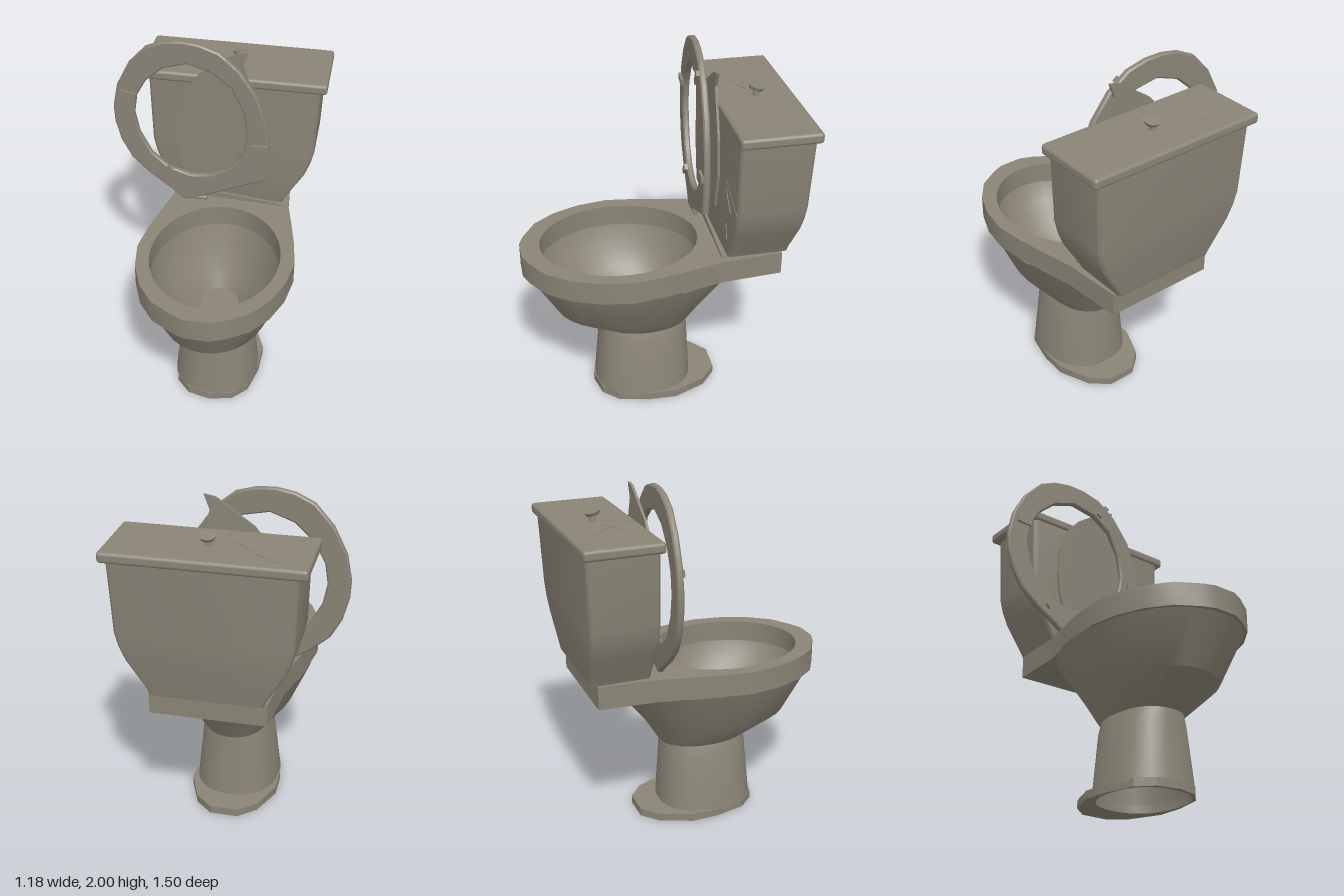
import * as THREE from 'three';
import { toCreasedNormals } from 'three/addons/utils/BufferGeometryUtils.js';
import { RoundedBoxGeometry } from 'three/addons/geometries/RoundedBoxGeometry.js';

const CX = 0.075; // centre line of bowl and tank

// Horizontal oval ring of points at height y
function oval(y, rx, zFront, zBack, n = 2, count = 32) {
  const zc = (zFront + zBack) / 2, rz = (zFront - zBack) / 2, ring = [];
  for (let i = 0; i < count; i++) {
    const a = (i / count) * Math.PI * 2, c = Math.cos(a), s = Math.sin(a);
    ring.push([
      CX + rx * Math.sign(c) * Math.abs(c) ** (2 / n), y,
      zc + rz * Math.sign(s) * Math.abs(s) ** (2 / n)]);
  }
  return ring;
}

// Horizontal rounded rectangle ring
function roundRect(y, hx, zFront, zBack, r) {
  const zc = (zFront + zBack) / 2, hz = (zFront - zBack) / 2, ring = [];
  [[1, 1], [-1, 1], [-1, -1], [1, -1]].forEach(([sx, sz], k) => {
    for (let i = 0; i <= 3; i++) {
      const a = (k + i / 3) * Math.PI / 2;
      ring.push([CX + sx * (hx - r) + r * Math.cos(a), y, zc + sz * (hz - r) + r * Math.sin(a)]);
    }
  });
  return ring;
}

// Skin through a stack of rings, with optional end caps
function loft(rings, capStart, capEnd, crease = 0.6) {
  const n = rings[0].length, pos = rings.flat(2), idx = [];
  for (let r = 0; r < rings.length - 1; r++) {
    for (let i = 0; i < n; i++) {
      const j = (i + 1) % n, p = r * n, q = p + n;
      idx.push(p + i, q + i, p + j, q + i, q + j, p + j);
    }
  }
  const cap = (r, flip) => {
    const c = pos.length / 3, b = r * n;
    const mid = [0, 1, 2].map(k => rings[r].reduce((s, p) => s + p[k], 0) / n);
    pos.push(...mid);
    for (let i = 0; i < n; i++) {
      const j = (i + 1) % n;
      idx.push(c, b + (flip ? j : i), b + (flip ? i : j));
    }
  };
  if (capStart) cap(0, false);
  if (capEnd) cap(rings.length - 1, true);
  const g = new THREE.BufferGeometry();
  g.setAttribute('position', new THREE.Float32BufferAttribute(pos, 3));
  g.setIndex(idx);
  return toCreasedNormals(g, crease);
}

const shapeOf = pts => new THREE.Shape(pts.map(p => new THREE.Vector2(...p)));
const pathOf = pts => new THREE.Path(pts.map(p => new THREE.Vector2(...p)));
const mirrored = half => [
  ...half.map(([x, z]) => [CX + x, z]),
  ...half.filter(p => p[0] > 0).reverse().map(([x, z]) => [CX - x, z])];

// Horizontal slab from an x,z outline with a hole
function slab(outline, hole, top, height) {
  const s = shapeOf(outline);
  if (hole) s.holes.push(pathOf(hole));
  const g = new THREE.ExtrudeGeometry(s, { depth: height, bevelEnabled: false });
  g.rotateX(Math.PI / 2).translate(0, top, 0);
  return toCreasedNormals(g, 0.5);
}

export function createModel() {
  const group = new THREE.Group();
  const ceramic = new THREE.MeshStandardMaterial({ color: 0x8a8476, side: THREE.DoubleSide });
  ceramic.name = 'dirty ceramic';
  const add = (name, geometry) => {
    const m = new THREE.Mesh(geometry, ceramic);
    m.name = name;
    group.add(m);
    return m;
  };

  // Foot with a flange reaching backwards, open below
  const footHalf = [[0, 0.365], [0.13, 0.335], [0.21, 0.25], [0.25, 0.08], [0.255, -0.08],
    [0.18, -0.26], [0.08, -0.345]];
  const footHole = oval(0, 0.23, 0.335, -0.18, 2.3).map(p => [p[0], p[2]]);
  add('foot', slab(mirrored(footHalf), footHole, 0.045, 0.045));
  add('pedestal', loft([
    oval(0.03, 0.245, 0.355, -0.205, 2.3),
    oval(0.38, 0.205, 0.325, -0.185, 2.3),
    oval(0.45, 0.183, 0.32, -0.18, 2.3)]));

  // Bowl
  add('bowlOuter', loft([
    oval(0.44, 0.187, 0.325, -0.195, 2.2),
    oval(0.58, 0.31, 0.57, -0.28, 2.1),
    oval(0.845, 0.425, 0.725, -0.49, 2.1)], true, false, 0.5));
  const holeRing = oval(0.85, 0.358, 0.64, -0.24);
  add('bowlInner', loft([
    holeRing,
    oval(0.74, 0.325, 0.59, -0.21),
    oval(0.62, 0.25, 0.47, -0.17),
    oval(0.53, 0.165, 0.29, -0.13),
    oval(0.47, 0.11, 0.17, -0.1)], false, true));
  const rimHalf = [[0.065, 0.745], [0.135, 0.717], [0.26, 0.64], [0.35, 0.52], [0.41, 0.37],
    [0.437, 0.2], [0.415, 0.03], [0.38, -0.14], [0.34, -0.32], [0.315, -0.645]];
  add('rim', slab(mirrored(rimHalf), holeRing.map(p => [p[0], p[2]]), 0.972, 0.13));

  // Tank tapering at the bottom, and its lid
  add('tank', loft([
    roundRect(0.972, 0.3, -0.345, -0.68, 0.02),
    roundRect(1.0, 0.312, -0.34, -0.685, 0.025),
    roundRect(1.17, 0.415, -0.338, -0.705, 0.03),
    roundRect(1.25, 0.445, -0.337, -0.713, 0.03),
    roundRect(1.33, 0.463, -0.336, -0.718, 0.03),
    roundRect(1.73, 0.476, -0.335, -0.732, 0.03)], true, true, 0.4));
  add('tankLid', new RoundedBoxGeometry(1.03, 0.058, 0.425, 3, 0.018))
    .position.set(0.07, 1.749, -0.5375);

  // Flush knob
  add('knobStem', new THREE.CylinderGeometry(0.014, 0.02, 0.05, 12)).position.set(0.078, 1.795, -0.545);
  const knob = add('knob', new THREE.CylinderGeometry(0.045, 0.036, 0.02, 16));
  knob.position.set(0.082, 1.822, -0.543);
  knob.rotation.x = -0.25;

  // Seat ring hanging askew in front of the tank, broken along its lower edge
  const seatZ = x => -0.262 + 0.085 * x;
  const seat = shapeOf([[-0.2, 2], [-0.3, 1.985], [-0.4, 1.94], [-0.5, 1.83], [-0.57, 1.69],
    [-0.597, 1.55], [-0.592, 1.45], [-0.56, 1.33], [-0.5, 1.22], [-0.4, 1.13], [-0.27, 1.04],
    [-0.2, 0.985], [-0.13, 1.0], [0.285, 1.2], [0.3, 1.4], [0.28, 1.55], [0.22, 1.73],
    [0.12, 1.87], [0.01, 1.96], [-0.1, 1.993]]);
  seat.holes.push(pathOf([[-0.17, 1.872], [-0.3, 1.83], [-0.4, 1.74], [-0.46, 1.63], [-0.475, 1.52],
    [-0.45, 1.4], [-0.38, 1.27], [-0.28, 1.19], [-0.15, 1.16], [-0.03, 1.18], [0.08, 1.25],
    [0.15, 1.35], [0.172, 1.47], [0.15, 1.62], [0.08, 1.76], [-0.03, 1.84]]));
  const seatGeo = new THREE.ExtrudeGeometry(seat, {
    depth: 0.02, bevelThickness: 0.008, bevelSize: 0.008, bevelOffset: -0.008, bevelSegments: 1 });
  const p = seatGeo.attributes.position;
  for (let i = 0; i < p.count; i++) p.setZ(i, p.getZ(i) - 0.01 + seatZ(p.getX(i)));
  add('seat', toCreasedNormals(seatGeo, 0.5));

  // Rubber stops on the seat
  [[-0.505, 1.64, -0.1], [0.03, 1.88, 0.95], [0.25, 1.415, 0.05], [-0.3, 1.165, 0.75]].forEach(([x, y, r]) => {
    const stop = add('seatStop', new THREE.BoxGeometry(0.09, 0.034, 0.02));
    stop.position.set(x, y, seatZ(x) + 0.024);
    stop.rotation.set(0, -0.085, r);
  });

  // Broken seat cover standing behind the seat
  const cover = shapeOf([[0.16, 1.95], [0.1, 1.94], [0.0, 1.87], [-0.1, 1.8], [-0.19, 1.69],
    [-0.23, 1.56], [-0.24, 1.4], [-0.22, 1.26], [-0.19, 1.15], [0.05, 1.12], [0.2, 1.2],
    [0.24, 1.4], [0.22, 1.6], [0.13, 1.87]]);
  add('brokenCover', new THREE.ExtrudeGeometry(cover, { depth: 0.014, bevelEnabled: false }))
    .position.z = -0.32;

  // Hinge remains
  const hinge = shapeOf([[-0.13, 1.03], [-0.06, 1.025], [0.37, 0.985], [0.37, 0.972], [-0.13, 0.99]]);
  add('hingeStrip', new THREE.ExtrudeGeometry(hinge, { depth: 0.015, bevelEnabled: false }))
    .position.z = -0.325;
  const pin = add('hingePin', new THREE.CylinderGeometry(0.014, 0.014, 0.09, 10));
  pin.position.set(-0.1, 1.005, -0.27);
  pin.rotation.z = Math.PI / 2;

  // Cracks as hair-thin strips
  const crack = (name, pts, toWorld) => {
    for (let i = 0; i < pts.length - 1; i++) {
      const [a, b] = [toWorld(pts[i]), toWorld(pts[i + 1])];
      const strip = add(name, new THREE.BoxGeometry(0.004, 0.004, a.distanceTo(b)));
      strip.position.copy(a).lerp(b, 0.5);
      strip.lookAt(b);
    }
  };
  const onLid = ([x, z]) => new THREE.Vector3(x, 1.778, z);
  const onFront = ([x, y]) => new THREE.Vector3(x, y, -0.336);
  crack('lidCrack', [[-0.33, -0.7], [-0.2, -0.63], [-0.06, -0.49], [0, -0.515], [-0.13, -0.45]], onLid);
  crack('lidCrack', [[0.06, -0.5], [-0.015, -0.34]], onLid);
  crack('tankCrack', [[0.54, 1.71], [0.31, 1.42], [0.53, 1.32]], onFront);
  crack('tankCrack', [[0.31, 1.37], [0.41, 1.27], [0.33, 1.17], [0.36, 1.08]], onFront);

  return group;
}
